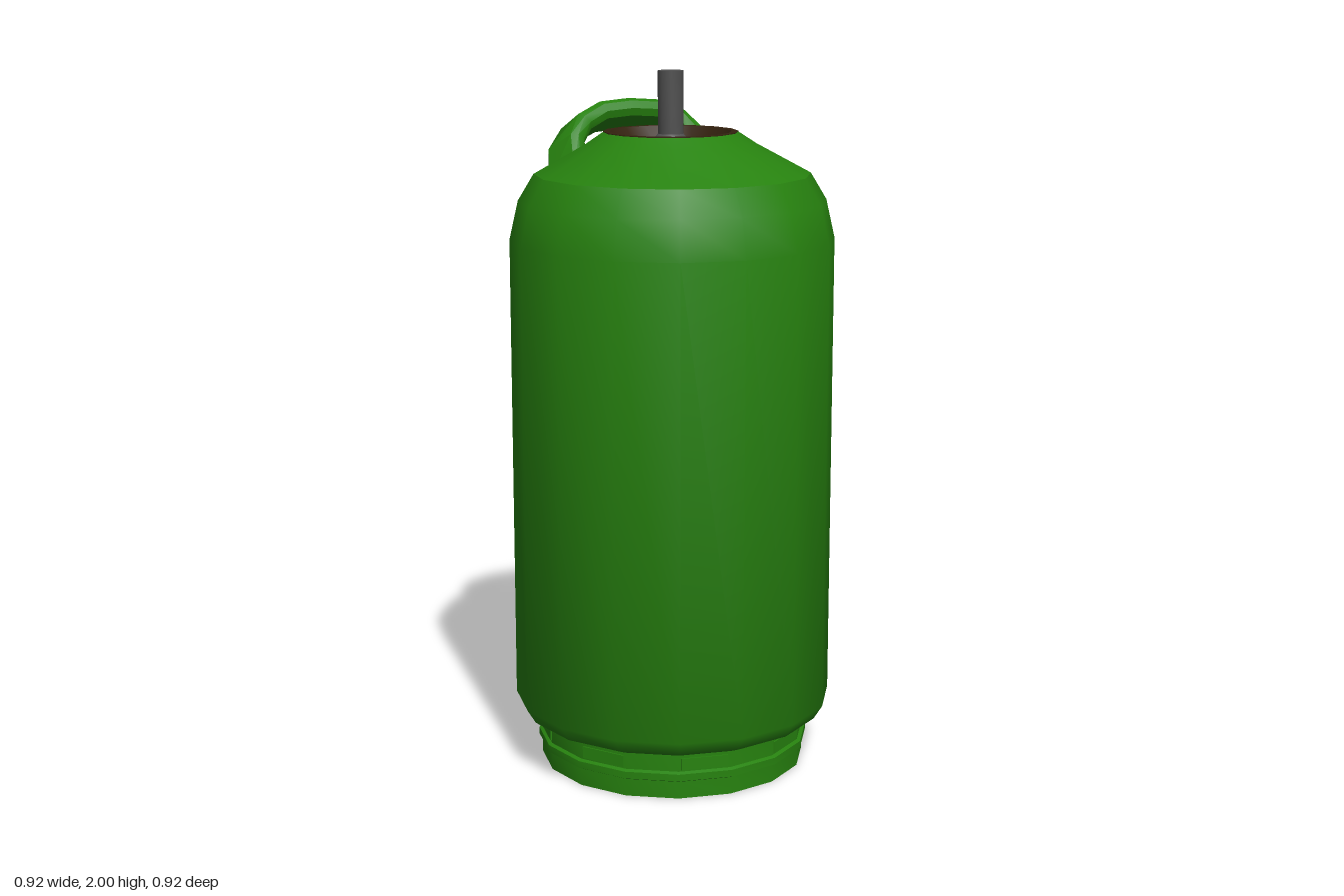
import * as THREE from 'three';
import { toCreasedNormals } from 'three/addons/utils/BufferGeometryUtils.js';

const green = new THREE.MeshStandardMaterial({ color: 0x27820f });
green.name = 'green paint';
const brown = new THREE.MeshStandardMaterial({ color: 0x34220f });
brown.name = 'dark brown';
const grey = new THREE.MeshStandardMaterial({ color: 0x505050 });
grey.name = 'steel grey';

const SIDES = 16;
const NECK_Z = -0.0125; // the neck sits slightly behind the centre

function lathe(name, profile, material, crease = 0.6) {
  const points = profile.map(([r, y]) => new THREE.Vector2(r, y));
  const geometry = toCreasedNormals(new THREE.LatheGeometry(points, SIDES), crease);
  const mesh = new THREE.Mesh(geometry, material);
  mesh.name = name;
  return mesh;
}

// Carry handle: a chamfered flat section swept along an arch, twisting at the feet
function handleGeometry() {
  const half = [[0, 1.857, -0.325], [0.09, 1.85, -0.322], [0.165, 1.82, -0.305],
    [0.21, 1.775, -0.27], [0.225, 1.69, -0.23]];
  const twist = [0, 0.15, 0.45, 0.8, 1];
  const rings = [];
  for (let i = -4; i <= 4; i++) {
    const k = Math.abs(i), s = Math.sign(i);
    const [x, y, z] = half[k];
    rings.push({
      p: new THREE.Vector3(x * s, y, z),
      w: new THREE.Vector3(0.6 * s * twist[k], -0.5, -0.86 + 0.26 * twist[k]).normalize(),
    });
  }
  const a = 0.06, b = 0.028, c = 0.016;
  const section = [[a, -b + c], [a, b - c], [a - c, b], [-a + c, b],
    [-a, b - c], [-a, -b + c], [-a + c, -b], [a - c, -b]];
  const n = section.length;
  const positions = [], index = [];
  rings.forEach(({ p, w }, i) => {
    const before = rings[Math.max(i - 1, 0)].p;
    const after = rings[Math.min(i + 1, rings.length - 1)].p;
    const tangent = after.clone().sub(before).normalize();
    const thin = tangent.cross(w).normalize();
    for (const [u, v] of section) {
      const q = p.clone().addScaledVector(w, u).addScaledVector(thin, v);
      positions.push(q.x, q.y, q.z);
    }
    if (i === rings.length - 1) return;
    for (let j = 0; j < n; j++) {
      const k = (j + 1) % n;
      index.push(i * n + j, i * n + k, (i + 1) * n + k);
      index.push(i * n + j, (i + 1) * n + k, (i + 1) * n + j);
    }
  });
  const geometry = new THREE.BufferGeometry();
  geometry.setAttribute('position', new THREE.Float32BufferAttribute(positions, 3));
  geometry.setIndex(index);
  return toCreasedNormals(geometry, 0.6);
}

export function createModel() {
  const model = new THREE.Group();
  model.name = 'gasCylinder';

  // Tank wall, rounded at both ends
  model.add(lathe('tankWall', [[0.37, 0.13], [0.39, 0.13], [0.435, 0.15], [0.46, 0.19],
    [0.46, 1.53], [0.435, 1.64], [0.39, 1.715]], green, 0.8));

  // Sloping shoulder that leans back to meet the neck
  const shoulder = lathe('shoulder', [[0.39, 1.715], [0.24, 1.797], [0.19, 1.83]], green);
  const pos = shoulder.geometry.attributes.position;
  for (let i = 0; i < pos.count; i++) {
    const t = (pos.getY(i) - 1.715) / 0.115;
    pos.setZ(i, pos.getZ(i) + NECK_Z * t);
  }
  model.add(shoulder);

  // Hollow foot ring with a raised bead
  model.add(lathe('footRing', [[0, 0.13], [0.372, 0.145], [0.372, 0], [0.385, 0], [0.385, 0.05],
    [0.395, 0.055], [0.395, 0.075], [0.385, 0.08], [0.385, 0.14]], green));

  // Slot panels on every second facet of the foot ring
  for (let i = 0; i < 8; i++) {
    const angle = (-11.25 + 45 * i) * Math.PI / 180;
    const r = 0.385 * Math.cos(Math.PI / SIDES);
    const slot = new THREE.Mesh(new THREE.BoxGeometry(0.135, 0.034, 0.008), green);
    slot.position.set(r * Math.sin(angle), 0.102, r * Math.cos(angle));
    slot.rotation.y = angle;
    slot.name = 'footSlot';
    model.add(slot);
  }

  // Neck cup with the valve boss rising from its floor
  const valve = new THREE.Group();
  valve.name = 'valve';
  valve.position.z = NECK_Z;
  valve.add(lathe('neckCup', [[0.19, 1.825], [0.19, 1.832], [0.172, 1.832], [0.095, 1.72],
    [0.065, 1.72], [0.065, 1.785], [0.055, 1.8], [0, 1.8]], brown));
  // Valve stem
  valve.add(lathe('valveStem', [[0.044, 1.77], [0.044, 1.815], [0.036, 1.825],
    [0.036, 2], [0, 2]], grey));
  model.add(valve);

  const handle = new THREE.Mesh(handleGeometry(), green);
  handle.name = 'carryHandle';
  model.add(handle);

  return model;
}
